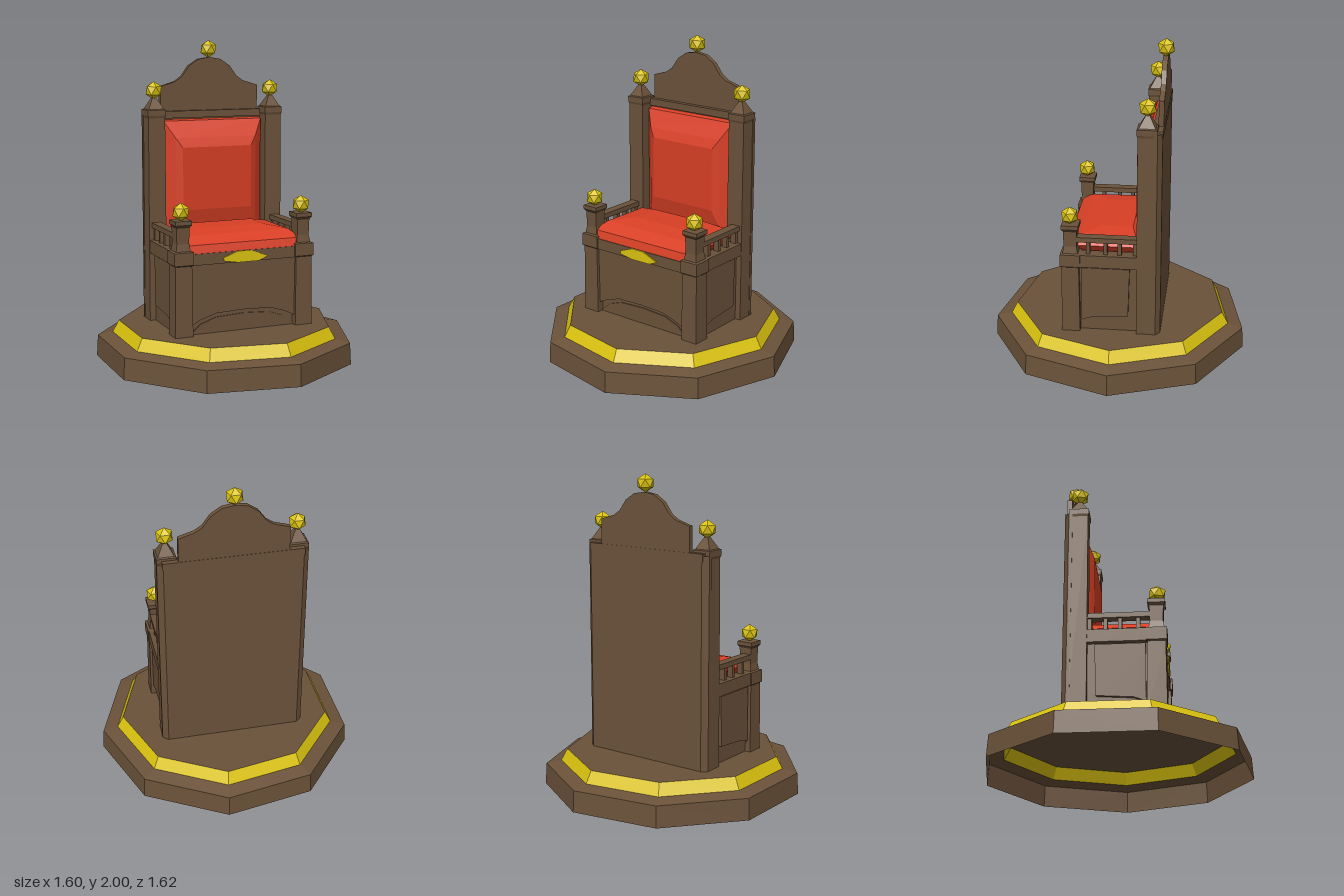
import * as THREE from 'three';

const wood = new THREE.MeshStandardMaterial({ color: 0x6b523a, flatShading: true, side: THREE.DoubleSide });
wood.name = 'brown wood';
const gold = new THREE.MeshStandardMaterial({ color: 0xdcc410, flatShading: true, side: THREE.DoubleSide });
gold.name = 'gold';
const red = new THREE.MeshStandardMaterial({ color: 0xd83f25, flatShading: true });
red.name = 'red velvet';

// Capped solid through rectangular sections [y, x0, x1, z0, z1], bottom to top
function loft(sections) {
  const rings = sections.map(([y, x0, x1, z0, z1]) =>
    [[x0, y, z0], [x0, y, z1], [x1, y, z1], [x1, y, z0]]);
  const pos = [];
  const quad = (a, b, c, d) => pos.push(...a, ...b, ...c, ...a, ...c, ...d);
  for (let k = 0; k < rings.length - 1; k++) {
    for (let i = 0; i < 4; i++) {
      const j = (i + 1) % 4;
      quad(rings[k][i], rings[k][j], rings[k + 1][j], rings[k + 1][i]);
    }
  }
  const [b, t] = [rings[0], rings[rings.length - 1]];
  quad(t[0], t[1], t[2], t[3]);
  quad(b[3], b[2], b[1], b[0]);
  const g = new THREE.BufferGeometry();
  g.setAttribute('position', new THREE.Float32BufferAttribute(pos, 3));
  g.computeVertexNormals();
  return g;
}

// Square post sections [y, half width] about a centre
const post = (cx, cz, steps) => loft(steps.map(([y, h]) => [y, cx - h, cx + h, cz - h, cz + h]));

function plate(points, depth) {
  const shape = new THREE.Shape(points.map(([x, y]) => new THREE.Vector2(x, y)));
  return new THREE.ExtrudeGeometry(shape, { depth, bevelEnabled: false });
}

const block = (x0, x1, y0, y1, z0, z1) => loft([[y0, x0, x1, z0, z1], [y1, x0, x1, z0, z1]]);

export function createModel() {
  const model = new THREE.Group();
  model.name = 'throne';
  model.position.x = -0.03;
  const root = new THREE.Group();
  root.add(model);
  const add = (name, geometry, material) => {
    const mesh = new THREE.Mesh(geometry, material);
    mesh.name = name;
    model.add(mesh);
    return mesh;
  };

  // Nine-sided stepped dais, open underneath
  const ring = (name, profile, material) => add(name, new THREE.LatheGeometry(
    profile.map(([r, y]) => new THREE.Vector2(r, y)), 9, Math.PI / 2), material);
  ring('daisStep', [[0.823, 0], [0.815, 0.135], [0.72, 0.155]], wood);
  ring('daisGoldBand', [[0.72, 0.155], [0.68, 0.23]], gold);
  ring('daisTop', [[0.68, 0.23], [0, 0.23]], wood);

  // Faceted finials
  const finial = (x, y, z) => {
    const g = new THREE.IcosahedronGeometry(0.056, 0);
    g.rotateZ(Math.atan(2 / (1 + Math.sqrt(5))));
    g.rotateY(Math.PI / 2);
    add('finial', g, gold).position.set(x, y, z);
  };
  finial(0, 1.944, -0.275);

  // Seat box
  add('seatBox', block(-0.42, 0.42, 0.23, 0.735, -0.25, 0.275), wood);
  add('frontRail', block(-0.35, 0.35, 0.665, 0.735, 0.25, 0.315), wood);
  add('frontApron', plate([
    [-0.35, 0.67], [-0.35, 0.29], [-0.28, 0.325], [-0.18, 0.355], [0, 0.362],
    [0.18, 0.355], [0.28, 0.325], [0.35, 0.29], [0.35, 0.67]], 0.03).translate(0, 0, 0.27), wood);
  add('frontFootArch', plate([
    [-0.35, 0.23], [-0.28, 0.29], [-0.18, 0.325], [0, 0.335],
    [0.18, 0.325], [0.28, 0.29], [0.35, 0.23]], 0.012).translate(0, 0, 0.27), wood);
  add('frontEmblem', plate([
    [-0.145, 0.7], [-0.05, 0.735], [0.04, 0.735], [0.15, 0.69],
    [0.09, 0.665], [-0.05, 0.665], [-0.14, 0.68]], 0.008).translate(0, 0, 0.315), gold);

  // Cushions
  add('seatCushion', loft([
    [0.735, -0.345, 0.345, -0.13, 0.31],
    [0.785, -0.385, 0.385, -0.135, 0.295],
    [0.83, -0.34, 0.34, -0.13, 0.215],
    [0.852, -0.2, 0.22, -0.1, 0.1]]), red);
  add('backCushion', loft([
    [-0.255, -0.34, 0.34, -1.505, -0.74],
    [-0.2, -0.335, 0.335, -1.495, -0.75],
    [-0.145, -0.275, 0.275, -1.39, -0.83],
    [-0.122, -0.235, 0.235, -1.33, -0.93]]).rotateX(Math.PI / 2), red);

  // Backrest board with chamfered rear corners, top moulding and scrolled crest
  const footprint = [[-0.46, 0.24], [-0.46, 0.262], [-0.425, 0.29], [0.425, 0.29], [0.46, 0.262], [0.46, 0.24]];
  add('backBoard', plate(footprint, 1.31).rotateX(-Math.PI / 2).translate(0, 0.23, 0), wood);
  add('backMoulding', block(-0.43, 0.43, 1.51, 1.555, -0.292, -0.225), wood);
  const half = [[0.335, 1.55], [0.335, 1.71], [0.235, 1.74], [0.19, 1.77], [0.14, 1.838], [0.075, 1.88]];
  add('backCrest', plate([...half, [0, 1.892],
    ...half.map(([x, y]) => [-x, y]).reverse()], 0.032).translate(0, 0, -0.29), wood);

  for (const s of [-1, 1]) {
    const x = s * 0.4;
    const span = (a, b) => [Math.min(s * a, s * b), Math.max(s * a, s * b)];

    // Rear posts with pointed caps
    add('rearPost', post(x, -0.2, [[0.23, 0.058], [1.52, 0.055], [1.535, 0.06],
      [1.57, 0.06], [1.575, 0.05], [1.645, 0.012]]), wood);
    finial(x, 1.69, -0.2);

    // Front posts with a flared upper part
    add('frontPost', post(x, 0.265, [[0.23, 0.057], [0.665, 0.053], [0.672, 0.062],
      [0.75, 0.062], [0.755, 0.047], [0.8, 0.039], [0.9, 0.042],
      [0.915, 0.053], [0.94, 0.053], [0.942, 0.03]]), wood);
    finial(x, 0.99, 0.27);

    // Side rail, panel and arm
    add('sideRail', block(...span(0.375, 0.455), 0.67, 0.75, -0.15, 0.21), wood);
    const panel = plate([[-0.2, 0.66], [-0.2, 0.3], [-0.13, 0.325], [0.09, 0.34], [0.1, 0.66]], 0.02);
    add('sidePanel', panel.rotateY(Math.PI / 2).translate(s * 0.43 - 0.01, 0, 0), wood);
    add('armRest', block(...span(0.38, 0.44), 0.83, 0.862, -0.15, 0.235), wood);
    for (const z of [0.157, 0.05, -0.037, -0.13]) {
      add('armBaluster', block(...span(0.392, 0.428), 0.745, 0.835, z - 0.012, z + 0.012), wood);
    }
  }
  return root;
}
